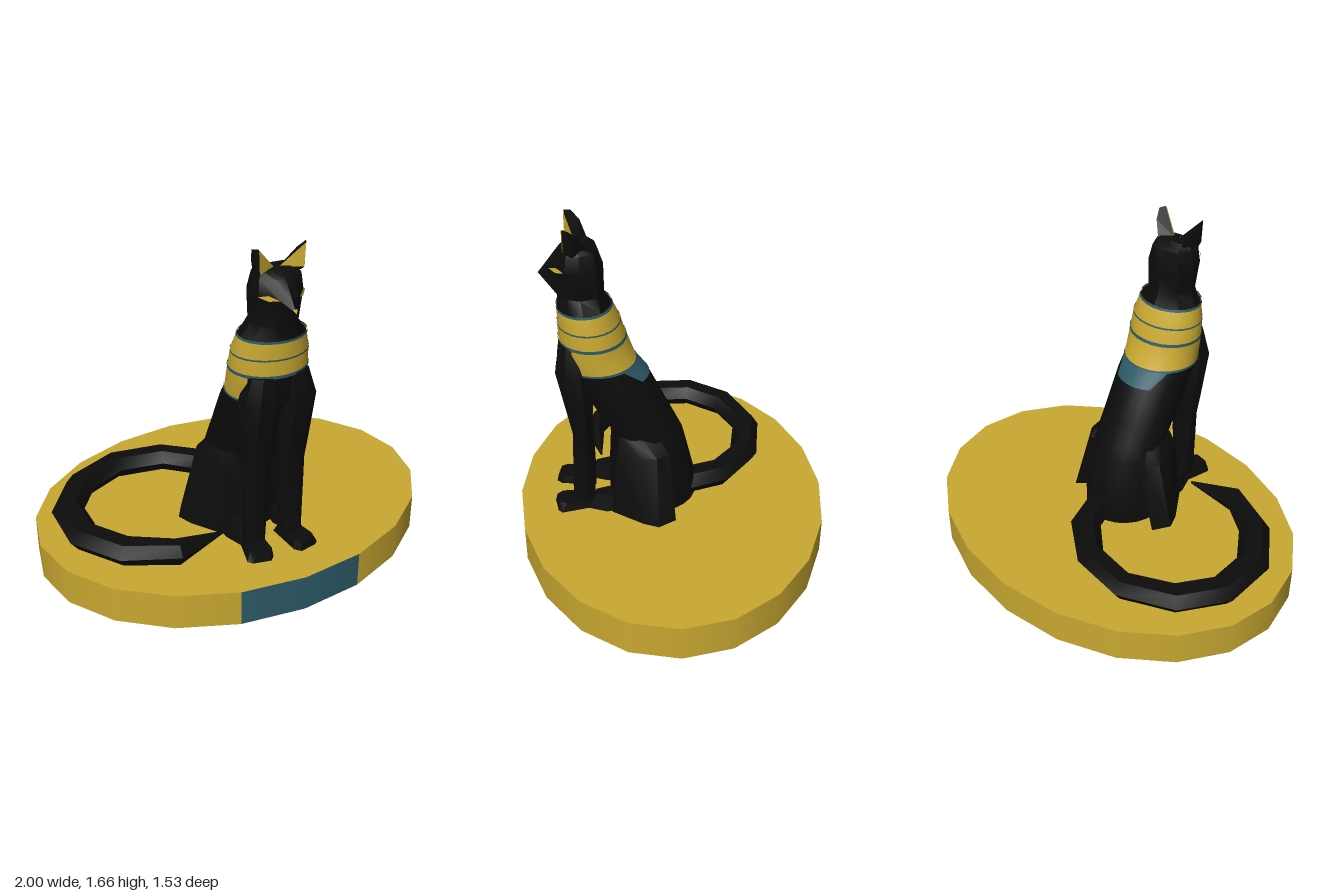
import * as THREE from 'three';
import { toCreasedNormals } from 'three/addons/utils/BufferGeometryUtils.js';
import { ConvexGeometry } from 'three/addons/geometries/ConvexGeometry.js';

const mat = (color) => new THREE.MeshStandardMaterial({ color, side: THREE.DoubleSide });
const black = mat(0x0c0c0c), gold = mat(0xc9a832), teal = mat(0x2d5a68);

function add(parent, name, geometry, material) {
  const mesh = new THREE.Mesh(geometry, material);
  mesh.name = name;
  parent.add(mesh);
  return mesh;
}

// Skin over rings of [x, y, z]; rings run clockwise seen along the loft.
function loft(rings, { closed = true, caps = true, crease = 0.6 } = {}) {
  const n = rings[0].length, idx = [];
  for (let i = 0; i < rings.length - 1; i++)
    for (let j = 0; j < (closed ? n : n - 1); j++) {
      const k = (j + 1) % n, a = i * n + j, b = i * n + k;
      idx.push(a, b, a + n, b, b + n, a + n);
    }
  if (closed && caps) {
    const e = (rings.length - 1) * n;
    for (let k = 1; k < n - 1; k++) idx.push(0, k + 1, k, e, e + k, e + k + 1);
  }
  const g = new THREE.BufferGeometry();
  g.setAttribute('position', new THREE.Float32BufferAttribute(rings.flat(2), 3));
  g.setIndex(idx);
  return toCreasedNormals(g, crease);
}

const sideRings = (rings, s) => rings.map((r) => {
  const m = r.map(([x, y, z]) => [s * x, y, z]);
  return s < 0 ? m.reverse() : m;
});
const level = (y, pts) => pts.map(([x, z]) => [x, y, z]);

// Chamfered rectangle at height y
function oct(y, x0, x1, z0, z1) {
  const a = (x1 - x0) * 0.28, b = (z1 - z0) * 0.28;
  return level(y, [[x0 + a, z0], [x1 - a, z0], [x1, z0 + b], [x1, z1 - b],
    [x1 - a, z1], [x0 + a, z1], [x0, z1 - b], [x0, z0 + b]]);
}

// Torso sections: height, front z, back z, half width
const TORSO = [
  [1.255, 0.525, 0.275, 0.155], [1.176, 0.525, 0.24, 0.175], [1.09, 0.525, 0.214, 0.18],
  [0.965, 0.525, 0.17, 0.18], [0.885, 0.48, 0.108, 0.18], [0.72, 0.38, 0.03, 0.18],
  [0.595, 0.3, -0.03, 0.18], [0.533, 0.3, -0.06, 0.185], [0.278, 0.315, -0.12, 0.2],
  [0.18, 0.31, -0.12, 0.2],
];

// Elliptical torso ring, or an arc of it centred on the back
function section(y, grow = 0, half = Math.PI) {
  let i = 0;
  while (i < TORSO.length - 2 && y < TORSO[i + 1][0]) i++;
  const A = TORSO[i], B = TORSO[i + 1], t = (A[0] - y) / (A[0] - B[0]);
  const [f, b, w] = [1, 2, 3].map((k) => A[k] + (B[k] - A[k]) * t);
  const full = half === Math.PI, n = 24, pts = [];
  for (let j = 0; j < (full ? n : n + 1); j++) {
    const p = -half + (2 * half * j) / n;
    pts.push([(w + grow) * Math.sin(p), y, (f + b) / 2 - ((f - b) / 2 + grow) * Math.cos(p)]);
  }
  return pts;
}

// Strip wrapped round the torso from yTop down to yBottom
function band(yTop, yBottom, grow, half = Math.PI, halfBottom = half) {
  const ys = [yTop, ...TORSO.map((r) => r[0]).filter((y) => y < yTop && y > yBottom), yBottom];
  return loft(ys.map((y) => section(y, grow, half + (halfBottom - half) * (yTop - y) / (yTop - yBottom))),
    { closed: half === Math.PI, caps: false });
}

function facet(pts) {
  const g = new THREE.BufferGeometry().setFromPoints(pts.map((p) => new THREE.Vector3(...p)));
  g.setIndex(pts.length === 3 ? [0, 1, 2] : [0, 1, 2, 0, 2, 3]);
  g.computeVertexNormals();
  return g;
}

function buildBase() {
  const g = new THREE.Group();
  g.name = 'base';
  const step = Math.PI / 10, h = 0.18;
  const rim = (segs, start) => new THREE.CylinderGeometry(1, 1, h, segs, 1, true, start, segs * step)
    .translate(0, h / 2, 0);
  add(g, 'baseRim', rim(18, step), gold);
  add(g, 'baseFrontPanel', rim(2, -step), teal);
  add(g, 'baseTop', new THREE.CircleGeometry(1, 20).rotateX(-Math.PI / 2).translate(0, h, 0), gold);
  add(g, 'baseBottom', new THREE.CircleGeometry(1, 20).rotateX(Math.PI / 2), gold);
  g.scale.z = 0.765;
  return g;
}

function buildHead() {
  const g = new THREE.Group();
  g.name = 'head';
  // Half outlines from front to back
  const halves = [
    [1.56, [[0, 0.46], [0.035, 0.455], [0.08, 0.45], [0.085, 0.41], [0.06, 0.38], [0, 0.377]]],
    [1.53, [[0, 0.51], [0.045, 0.5], [0.1, 0.465], [0.105, 0.41], [0.075, 0.345], [0, 0.33]]],
    [1.454, [[0, 0.57], [0.045, 0.54], [0.107, 0.475], [0.12, 0.41], [0.09, 0.335], [0, 0.306]]],
    [1.414, [[0, 0.6], [0.03, 0.545], [0.1, 0.475], [0.12, 0.41], [0.09, 0.335], [0, 0.306]]],
    [1.317, [[0, 0.52], [0.04, 0.515], [0.09, 0.47], [0.11, 0.41], [0.085, 0.335], [0, 0.306]]],
    [1.25, [[0, 0.525], [0.07, 0.51], [0.13, 0.46], [0.155, 0.4], [0.12, 0.32], [0, 0.275]]],
  ];
  const rings = halves.map(([y, h]) => level(y,
    [...[...h].reverse(), ...h.slice(1, -1).map(([x, z]) => [-x, z])]));
  add(g, 'skull', loft(rings), black);
  add(g, 'nose', facet([[-0.012, 1.426, 0.592], [0, 1.41, 0.606], [0.012, 1.426, 0.592]]), gold);
  for (const s of [1, -1]) {
    const side = s > 0 ? 'left' : 'right';
    const flip = (pts) => pts.map(([x, y, z]) => [s * x, y, z]);
    const face = (pts) => facet(s > 0 ? flip(pts) : flip(pts).reverse());
    add(g, side + 'Ear', new ConvexGeometry(flip([
      [0.108, 1.555, 0.475], [0.012, 1.555, 0.425], [0.112, 1.665, 0.475], [0.127, 1.66, 0.447],
      [0.122, 1.6, 0.435], [0.108, 1.62, 0.407], [0.07, 1.55, 0.377], [0.112, 1.53, 0.44],
    ]).map((p) => new THREE.Vector3(...p))), black);
    add(g, side + 'InnerEar', face([
      [0.105, 1.557, 0.479], [0.012, 1.557, 0.43], [0.11, 1.663, 0.479]].reverse()), gold);
    add(g, side + 'Eye', face([
      [0.046, 1.455, 0.548], [0.082, 1.447, 0.516], [0.113, 1.459, 0.478], [0.082, 1.471, 0.511]]), gold);
  }
  return g;
}

function buildLegs(s) {
  const g = new THREE.Group();
  g.name = s > 0 ? 'leftLegs' : 'rightLegs';
  const part = (name, rings) => add(g, name, loft(sideRings(rings, s)), black);
  part('frontLeg', [
    oct(1.09, 0, 0.14, 0.4, 0.522), oct(0.96, 0, 0.178, 0.38, 0.544), oct(0.72, 0.01, 0.165, 0.38, 0.5),
    oct(0.61, 0.025, 0.155, 0.392, 0.48), oct(0.2, 0.05, 0.145, 0.385, 0.495)]);
  part('frontPaw', [
    level(0.222, [[0.055, 0.4], [0.14, 0.4], [0.165, 0.53], [0.15, 0.565], [0.085, 0.578], [0.06, 0.55]]),
    level(0.18, [[0.04, 0.385], [0.145, 0.385], [0.185, 0.55], [0.165, 0.57], [0.08, 0.588], [0.055, 0.56]])]);
  part('haunch', [
    level(0.6, [[0.1, 0.08], [0.15, 0.07], [0.178, 0.14], [0.178, 0.2], [0.15, 0.25], [0.1, 0.26]]),
    level(0.525, [[0.14, 0.02], [0.19, 0.02], [0.23, 0.08], [0.225, 0.16], [0.17, 0.27], [0.1, 0.28]]),
    level(0.18, [[0.2, 0.05], [0.27, -0.01], [0.32, 0.075], [0.29, 0.15], [0.19, 0.3], [0.1, 0.31]])]);
  part('hindPaw', [oct(0.262, 0.08, 0.17, 0.1, 0.38), oct(0.18, 0.07, 0.185, 0.1, 0.42)]);
  return g;
}

// Hexagonal tail curled on the base: inner x, z and outer x, z
function tailGeometry() {
  const path = [
    [-0.05, 0, 0.1, 0], [-0.06, -0.075, 0.1, -0.07], [-0.1, -0.205, 0.03, -0.285],
    [-0.23, -0.325, -0.19, -0.46], [-0.45, -0.36, -0.47, -0.5], [-0.63, -0.27, -0.74, -0.38],
    [-0.735, -0.12, -0.89, -0.16], [-0.735, 0.075, -0.89, 0.12], [-0.63, 0.23, -0.73, 0.35],
    [-0.47, 0.345, -0.47, 0.46], [-0.22, 0.355, -0.22, 0.365],
  ];
  return loft(path.map(([ix, iz, ox, oz], i) => {
    const h = i === path.length - 1 ? 0.006 : 0.055;
    return [[0, 0], [0.25, h], [0.75, h], [1, 0], [0.75, -h], [0.25, -h]]
      .map(([t, dy]) => [ix + (ox - ix) * t, 0.238 + dy, iz + (oz - iz) * t]);
  }));
}

export function createModel() {
  const model = new THREE.Group();
  model.name = 'seatedCat';
  model.add(buildBase(), buildHead(), buildLegs(1), buildLegs(-1));
  add(model, 'torso', loft(TORSO.map((r) => section(r[0]))), black);
  add(model, 'tail', tailGeometry(), black);

  // Banded collar, open at the chest below the lower ring
  const collar = new THREE.Group(), open = 2.2;
  collar.name = 'collar';
  add(collar, 'collarUpper', band(1.255, 1.09, 0.003), gold);
  add(collar, 'collarLower', band(1.09, 0.963, 0.003, open), gold);
  add(collar, 'collarBackPanel', band(0.963, 0.885, 0.003, 0.91, 0.61), teal);
  for (const [a, b, half] of [[1.262, 1.25], [1.177, 1.169], [1.1, 1.085], [0.968, 0.957, open]])
    add(collar, 'collarStripe', band(a, b, 0.006, half), teal);
  model.add(collar);
  return model;
}
